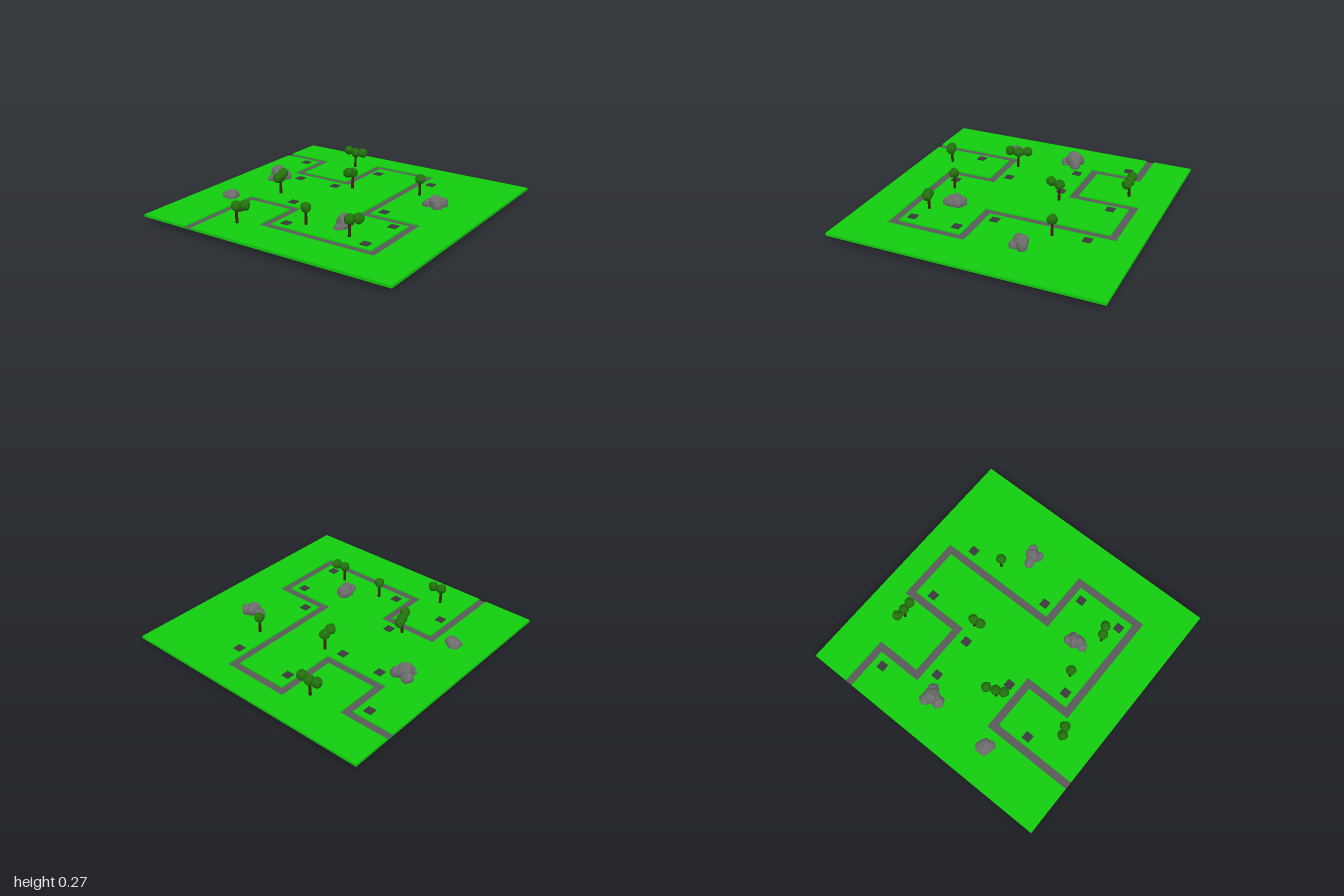
import * as THREE from 'three';

const paint = (color) => new THREE.MeshStandardMaterial({ color, flatShading: true });
const GRASS = paint(0x12cc0e), ROAD = paint(0x5a5a5a), PAD = paint(0x3a3a3a);
const BARK = paint(0x40200c), LEAF = paint(0x22700c), STONE = paint(0x6c6c6c);
const TOP = 0.056, BOTTOM = 0.037, FLOOR = 0.046;

function add(parent, name, geometry, material, x = 0, y = 0, z = 0) {
  const mesh = new THREE.Mesh(geometry, material);
  mesh.name = name;
  mesh.position.set(x, y, z);
  parent.add(mesh);
  return mesh;
}

// Centre line of the winding road, as x, z
const ROUTE = [[-1, -0.675], [-0.648, -0.675], [-0.648, -0.333], [-0.193, -0.333], [-0.193, -0.792],
  [0.265, -0.792], [0.265, 0.14], [0.665, 0.14], [0.665, 0.675], [-0.19, 0.675],
  [-0.19, 0.33], [-0.59, 0.33], [-0.59, 1]];

// Parallel of the right-angled route at a signed distance
function offsetRoute(d) {
  const normal = (i) => {
    const [a, b] = [ROUTE[i], ROUTE[i + 1]];
    return [-Math.sign(b[1] - a[1]) * d, Math.sign(b[0] - a[0]) * d];
  };
  return ROUTE.map(([x, z], i) => {
    const before = i > 0 ? normal(i - 1) : [0, 0];
    const after = i < ROUTE.length - 1 ? normal(i) : [0, 0];
    return [x + before[0] + after[0], z + before[1] + after[1]];
  });
}

// Flat layer from an x, z outline
function layer(outline, height) {
  const shape = new THREE.Shape(outline.map(([x, z]) => new THREE.Vector2(x, -z)));
  return new THREE.ExtrudeGeometry(shape, { depth: height, bevelEnabled: false }).rotateX(-Math.PI / 2);
}

// Lumpy ball: an icosahedron whose vertices move by a smooth rule
function lump(rx, ry, rz, seed, rough, detail) {
  const g = new THREE.IcosahedronGeometry(1, detail);
  const p = g.attributes.position, v = new THREE.Vector3();
  for (let i = 0; i < p.count; i++) {
    v.fromBufferAttribute(p, i);
    const n = Math.sin(3.1 * v.x + seed) * Math.cos(2.7 * v.y + seed * 1.7)
      + 0.6 * Math.sin(5.3 * v.z + 2.9 * v.x + seed * 2.3);
    v.multiplyScalar(1 + rough * n);
    p.setXYZ(i, v.x * rx, v.y * ry, v.z * rz);
  }
  g.computeVertexNormals();
  return g;
}

// Tapered limb between two points
function limb(parent, name, from, to, r0, r1) {
  const a = new THREE.Vector3(...from), b = new THREE.Vector3(...to);
  const dir = b.clone().sub(a), mid = a.clone().add(b).multiplyScalar(0.5);
  const mesh = add(parent, name, new THREE.CylinderGeometry(r1, r0, dir.length(), 8), BARK, mid.x, mid.y, mid.z);
  mesh.quaternion.setFromUnitVectors(new THREE.Vector3(0, 1, 0), dir.normalize());
}

// Trees: trunk x, z, base height, then crowns as x, y, z
const TREES = [
  { at: [-0.36, -0.7, TOP], crowns: [[-0.355, 0.178, -0.7], [-0.42, 0.188, -0.7], [-0.29, 0.185, -0.7]] },
  { at: [-0.095, -0.255, TOP], crowns: [[-0.095, 0.18, -0.258], [-0.095, 0.195, -0.195]] },
  { at: [0.4, -0.405, TOP], crowns: [[0.4, 0.18, -0.405]] },
  { at: [-0.413, 0.213, 0.095], crowns: [[-0.413, 0.218, 0.21], [-0.438, 0.225, 0.145], [-0.392, 0.231, 0.268]] },
  { at: [0.043, 0.525, TOP], crowns: [[0.043, 0.18, 0.525]] },
  { at: [0.402, 0.537, TOP], crowns: [[0.402, 0.178, 0.537], [0.46, 0.19, 0.515]] },
  { at: [-0.362, 0.763, TOP], crowns: [[-0.362, 0.178, 0.763], [-0.305, 0.188, 0.74]] },
];

// Boulders: each lobe is x, y, z, then radii
const BOULDERS = [
  [[-0.705, 0.1, -0.135, 0.06, 0.058, 0.06], [-0.748, 0.075, -0.165, 0.04, 0.048, 0.045],
    [-0.655, 0.08, -0.165, 0.042, 0.045, 0.04], [-0.705, 0.065, -0.085, 0.045, 0.04, 0.048]],
  [[0.612, 0.088, -0.265, 0.05, 0.055, 0.055], [0.555, 0.063, -0.255, 0.042, 0.04, 0.04],
    [0.652, 0.08, -0.295, 0.038, 0.045, 0.035], [0.63, 0.065, -0.235, 0.045, 0.04, 0.035]],
  [[-0.745, 0.062, 0.38, 0.062, 0.045, 0.055], [-0.715, 0.058, 0.405, 0.042, 0.035, 0.036]],
  [[0.265, 0.07, 0.385, 0.055, 0.066, 0.06], [0.25, 0.07, 0.352, 0.036, 0.045, 0.036],
    [0.285, 0.08, 0.42, 0.04, 0.05, 0.045], [0.272, 0.058, 0.46, 0.036, 0.038, 0.04]],
];

// Square pads beside the road, as x, z
const PADS = [[-0.755, -0.57], [-0.105, -0.645], [0.365, -0.645], [-0.555, -0.22], [-0.23, -0.22],
  [0.365, 0.04], [0.555, 0.235], [0.555, 0.58], [-0.285, 0.23], [-0.5, 0.57], [-0.08, 0.58]];

export function createModel() {
  const model = new THREE.Group();
  model.name = 'parkBoard';

  // Ground slab with the road sunk into it
  const ground = new THREE.Group();
  ground.name = 'ground';
  model.add(ground);
  const base = FLOOR - 0.002 - BOTTOM;
  add(ground, 'groundBase', new THREE.BoxGeometry(2, base, 2), GRASS, 0, BOTTOM + base / 2, 0);
  const half = 0.029, west = offsetRoute(half), east = offsetRoute(-half);
  const rise = TOP - BOTTOM - base;
  add(ground, 'innerLawn', layer([...west, [-1, 1]], rise), GRASS, 0, BOTTOM + base, 0);
  add(ground, 'outerLawn', layer([...east, [1, 1], [1, -1], [-1, -1]], rise), GRASS, 0, BOTTOM + base, 0);
  add(ground, 'road', layer([...west, ...east.slice().reverse()], 0.002), ROAD, 0, BOTTOM + base, 0);

  // Pads
  const padGeometry = new THREE.BoxGeometry(0.06, 0.008, 0.06);
  PADS.forEach(([x, z]) => add(model, 'pad', padGeometry, PAD, x, TOP + 0.001, z));

  // Trees
  TREES.forEach(({ at: [x, z, y], crowns }, t) => {
    const tree = new THREE.Group();
    tree.name = 'tree';
    model.add(tree);
    limb(tree, 'trunk', [x, y, z], crowns[0], 0.011, 0.008);
    crowns.forEach((c, i) => {
      if (i > 0) limb(tree, 'branch', [x, c[1] - 0.05, z], c, 0.006, 0.004);
      const crown = add(tree, 'crown', lump(0.037, 0.037, 0.037, t * 2 + i, 0.07, 2), LEAF, ...c);
      crown.rotation.y = t + i * 2;
    });
  });

  // Boulders, partly buried in the slab
  BOULDERS.forEach((lobes, b) => {
    const boulder = new THREE.Group();
    boulder.name = 'boulder';
    model.add(boulder);
    lobes.forEach(([x, y, z, ...r], i) =>
      add(boulder, 'boulderLobe', lump(...r, b * 3 + i * 1.3, 0.12, 2), STONE, x, y, z));
  });

  // Stand the lowest stone on y = 0
  const low = new THREE.Box3().setFromObject(model, true).min.y;
  model.children.forEach((part) => { part.position.y -= low; });
  return model;
}
